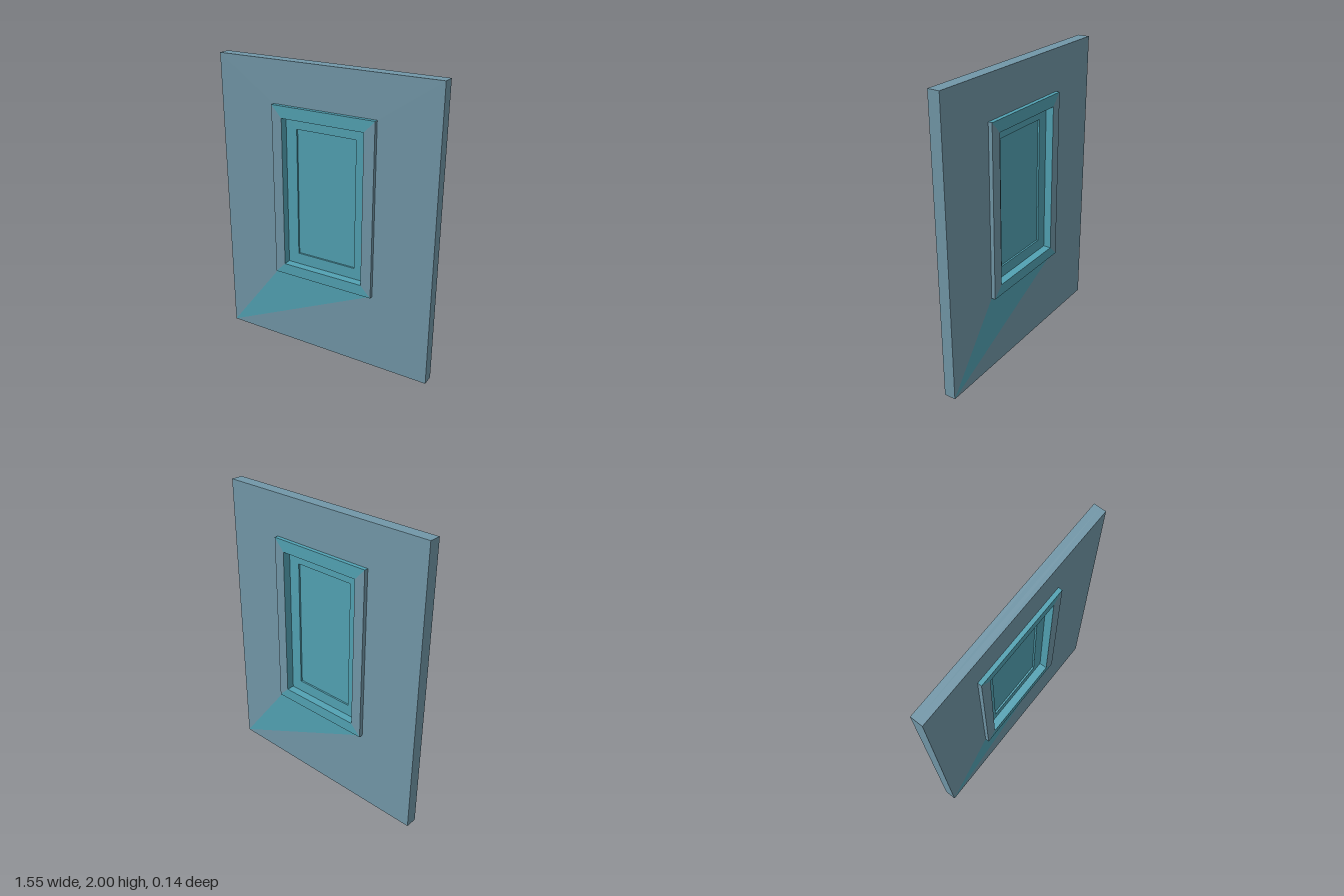
import * as THREE from 'three';

const wallMat = new THREE.MeshStandardMaterial({ color: 0x7297a8 });
const trimMat = new THREE.MeshStandardMaterial({ color: 0x52a2b3 });

// Rectangle of four corners at depth z: bottom left, bottom right, top right, top left
const ring = (w, y0, y1, z) => [[-w, y0, z], [w, y0, z], [w, y1, z], [-w, y1, z]];

function facesMesh(name, material, polygons) {
  const positions = [];
  for (const p of polygons) {
    for (let i = 1; i < p.length - 1; i++) positions.push(...p[0], ...p[i], ...p[i + 1]);
  }
  const geometry = new THREE.BufferGeometry();
  geometry.setAttribute('position', new THREE.Float32BufferAttribute(positions, 3));
  geometry.computeVertexNormals();
  const mesh = new THREE.Mesh(geometry, material);
  mesh.name = name;
  return mesh;
}

// Quads joining one ring to the next; sides: 0 bottom, 1 right, 2 top, 3 left
const band = (a, b, sides = [0, 1, 2, 3]) =>
  sides.map((i) => [a[i], a[(i + 1) % 4], b[(i + 1) % 4], b[i]]);

// One face of the wall with its half of the thickness
function createHalf(name) {
  const half = new THREE.Group();
  half.name = name;

  const wallBack = ring(0.775, 0, 2, 0);
  const wallFront = ring(0.775, 0, 2, 0.04);
  const frameBase = ring(0.367, 0.535, 1.72, 0.04);
  const frameFront = ring(0.367, 0.535, 1.72, 0.0675);
  const openingFront = ring(0.294, 0.61, 1.64, 0.0675);
  const openingBack = ring(0.294, 0.61, 1.64, 0.013);
  const paneFront = ring(0.215, 0.688, 1.567, 0.013);
  const paneBack = ring(0.215, 0.688, 1.567, 0.001);

  // Wall edges and face, leaving out the tinted wedge under the window
  const [bl, br, tr, tl] = wallFront;
  const [fbl, fbr, ftr, ftl] = frameBase;
  half.add(facesMesh('wall', wallMat, [
    ...band(wallBack, wallFront),
    ...band(wallFront, frameBase, [1, 2, 3]),
    [bl, br, fbr],
  ]));
  half.add(facesMesh('tintedWedge', trimMat, [[bl, fbr, fbl]]));

  // Raised frame: uprights in the wall colour, head and sill in the trim colour
  const frame = (sides) => [
    ...band(frameBase, frameFront, sides),
    ...band(frameFront, openingFront, sides),
  ];
  half.add(facesMesh('frameUprights', wallMat, frame([1, 3])));
  half.add(facesMesh('frameHeadAndSill', trimMat, frame([0, 2])));

  // Recessed opening, sash and pane
  half.add(facesMesh('openingReveal', trimMat, band(openingFront, openingBack)));
  half.add(facesMesh('sash', trimMat, [
    ...band(openingBack, paneFront),
    ...band(paneFront, paneBack),
  ]));
  half.add(facesMesh('pane', trimMat, [paneBack]));
  return half;
}

export function createModel() {
  const model = new THREE.Group();
  model.name = 'windowWall';
  const front = createHalf('frontHalf');
  const back = createHalf('backHalf');
  back.rotation.y = Math.PI;
  model.add(front, back);
  return model;
}
